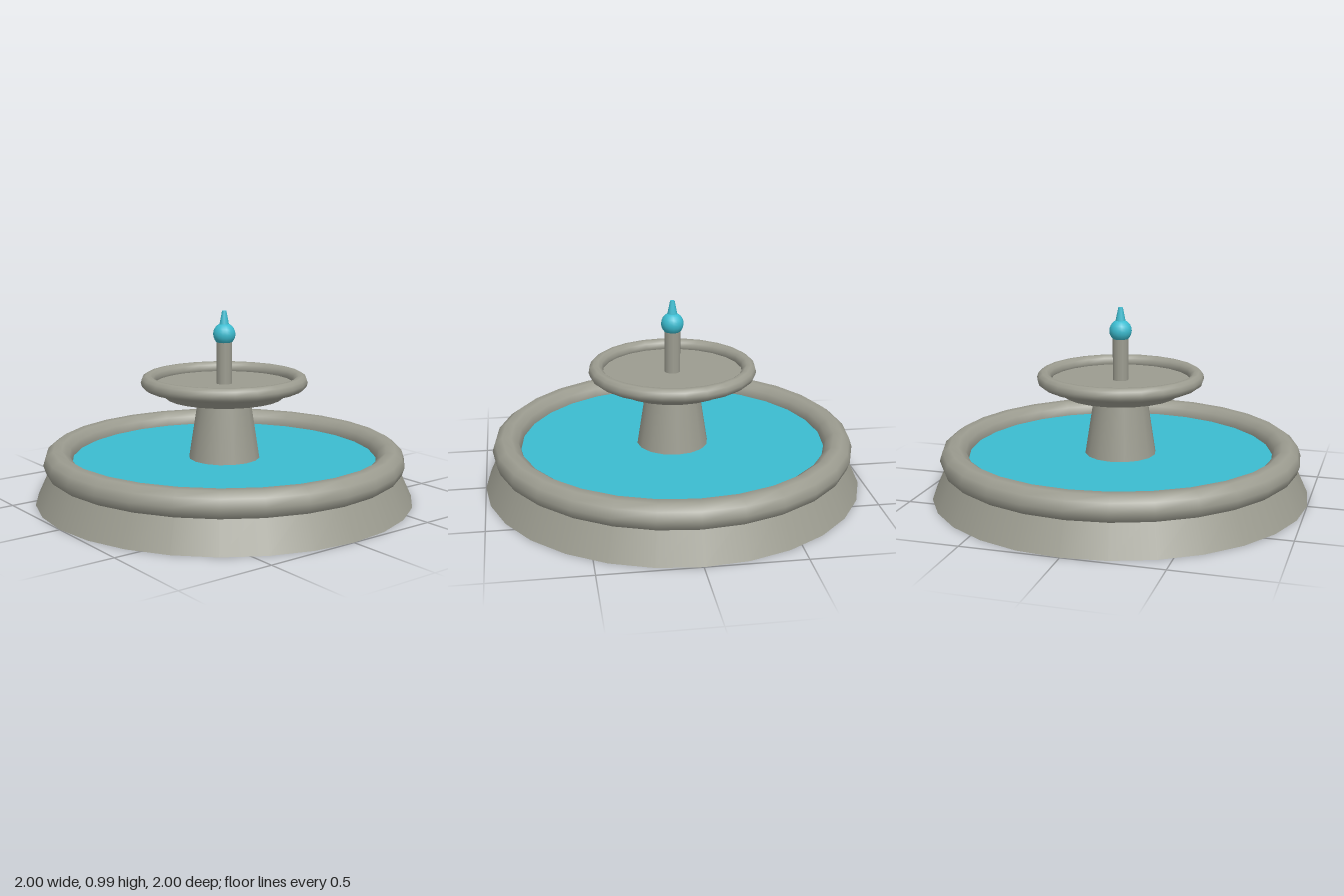
import * as THREE from 'three';

const stone = new THREE.MeshStandardMaterial({ color: 0x9c9c90 });
const water = new THREE.MeshStandardMaterial({ color: 0x3cbcd0 });

export function createModel() {
  const group = new THREE.Group();

  const add = (name, geometry, material, y) => {
    const mesh = new THREE.Mesh(geometry, material);
    mesh.name = name;
    mesh.position.y = y;
    group.add(mesh);
  };
  // Upright tapered cylinder between two heights
  const taper = (name, material, rBottom, rTop, y0, y1, sides) =>
    add(name, new THREE.CylinderGeometry(rTop, rBottom, y1 - y0, sides), material, (y0 + y1) / 2);
  // Horizontal ring
  const ring = (name, radius, tube, y, sides) =>
    add(name, new THREE.TorusGeometry(radius, tube, 10, sides).rotateX(Math.PI / 2), stone, y);

  // Lower pool
  taper('poolBase', stone, 1, 0.91, 0, 0.195, 28);
  ring('poolRim', 0.88, 0.075, 0.209, 28);
  taper('poolWater', water, 0.82, 0.82, 0.19, 0.21, 28);

  // Pedestal and upper bowl
  taper('pedestal', stone, 0.19, 0.137, 0.2, 0.54, 16);
  taper('upperBowl', stone, 0.305, 0.4, 0.533, 0.607, 24);
  ring('upperBowlRim', 0.402, 0.0375, 0.62, 24);

  // Spout
  taper('spoutColumn', stone, 0.042, 0.042, 0.6, 0.84, 12);
  add('waterBall', new THREE.SphereGeometry(0.059, 16, 12), water, 0.868);
  taper('waterJet', water, 0.028, 0.012, 0.91, 0.99, 10);

  return group;
}
